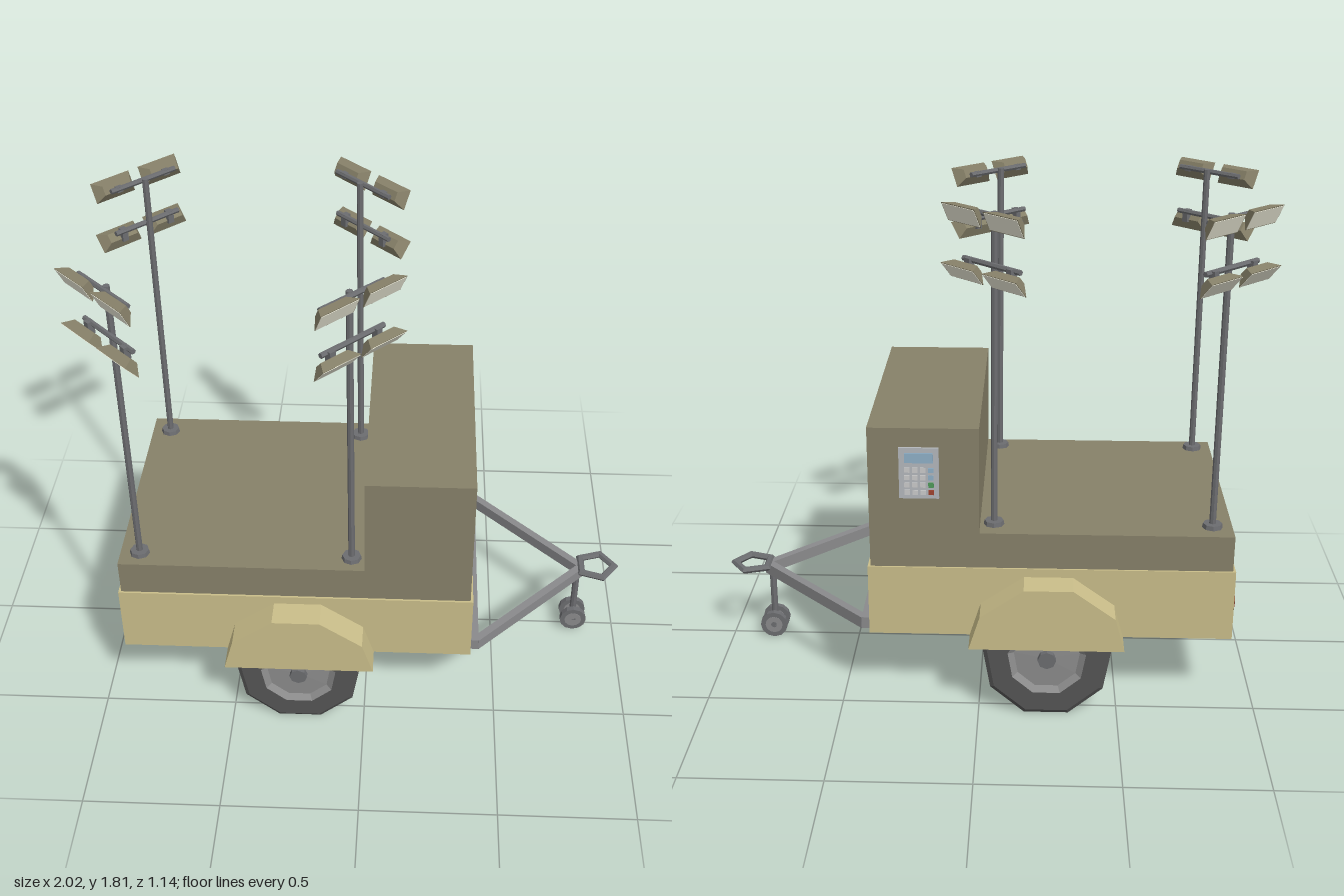
import * as THREE from 'three';

const mat = (color, side = THREE.FrontSide) => new THREE.MeshStandardMaterial({ color, flatShading: true, side });
const M = {
  tan: mat(0xcabe8a), olive: mat(0x878169), rubber: mat(0x555555), rim: mat(0x8c8c8c, THREE.DoubleSide),
  steel: mat(0x6c6d70), frame: mat(0x8a8a8c), lens: mat(0xf0eedc), panel: mat(0xb4b8bc),
  screen: mat(0x8fb0c8), key: mat(0xe6e6e6), red: mat(0xa0442f), dark: mat(0x55503c), green: mat(0x4f9a5a),
};

function add(parent, name, geo, material, x = 0, y = 0, z = 0) {
  const m = new THREE.Mesh(geo, material);
  m.name = name;
  m.position.set(x, y, z);
  parent.add(m);
  return m;
}

// box given by its min and max corners
function block(parent, name, material, [x0, y0, z0], [x1, y1, z1]) {
  return add(parent, name, new THREE.BoxGeometry(x1 - x0, y1 - y0, z1 - z0), material,
    (x0 + x1) / 2, (y0 + y1) / 2, (z0 + z1) / 2);
}

// lathe turned so that its axis is z and a flat side points down
function wheelLathe(pts, sides) {
  const g = new THREE.LatheGeometry(pts.map(p => new THREE.Vector2(...p)), sides, Math.PI / sides);
  return g.rotateX(Math.PI / 2);
}

function createWheel() {
  const g = new THREE.Group();
  g.name = 'wheel';
  add(g, 'tyre', wheelLathe([[0, -0.046], [0.215, -0.046], [0.234, -0.036], [0.234, 0.036], [0.218, 0.046],
    [0.142, 0.046], [0.135, 0.02]], 9), M.rubber);
  add(g, 'rim', wheelLathe([[0.142, 0.046], [0.12, 0.028], [0, 0.032]], 9), M.rim);
  add(g, 'hub', new THREE.CylinderGeometry(0.033, 0.033, 0.03, 8).rotateX(Math.PI / 2), M.steel, 0, 0, 0.036);
  return g;
}

// floodlight facing +z: housing tapers towards the back
function createLamp() {
  const g = new THREE.Group();
  g.name = 'floodlight';
  const housing = new THREE.BoxGeometry(0.165, 0.074, 0.036);
  const p = housing.attributes.position;
  for (let i = 0; i < p.count; i++) {
    if (p.getZ(i) < 0) p.setXY(i, p.getX(i) * 0.7, p.getY(i) * 0.45);
  }
  add(g, 'lampHousing', housing, M.olive);
  add(g, 'lampLens', new THREE.BoxGeometry(0.158, 0.067, 0.003), M.lens, 0, 0, 0.018);
  return g;
}

function createMast(sx, sz) {
  const g = new THREE.Group();
  g.name = 'lightMast';
  add(g, 'mastFoot', new THREE.CylinderGeometry(0.034, 0.038, 0.02, 8), M.steel, 0, 0.67, 0);
  add(g, 'mastPole', new THREE.CylinderGeometry(0.012, 0.012, 1.14, 8), M.steel, 0, 1.23, 0);
  // two rows of paired lamps
  for (const [barY, lampY, tilt] of [[1.79, 1.788, 0.45], [1.62, 1.59, 0.7]]) {
    add(g, 'crossbar', new THREE.CylinderGeometry(0.01, 0.01, 0.28, 6).rotateZ(Math.PI / 2), M.steel, 0, barY, 0.014);
    for (const s of [-1, 1]) {
      const lamp = createLamp();
      lamp.position.set(s * 0.103, lampY, 0.042);
      lamp.rotation.x = tilt;
      g.add(lamp);
      block(g, 'lampBracket', M.steel, [s * 0.103 - 0.012, lampY - 0.01, 0.008], [s * 0.103 + 0.012, barY + 0.008, 0.034]);
    }
  }
  g.rotation.y = Math.atan2(sx, sz);
  return g;
}

function createDrawbar() {
  const g = new THREE.Group();
  g.name = 'drawbar';
  block(g, 'crossBeam', M.frame, [0.4, 0.27, -0.44], [0.43, 0.315, 0.44]);
  for (const s of [-1, 1]) {
    const dx = 0.43, dz = -0.43;
    const beam = add(g, 'diagonalBeam', new THREE.BoxGeometry(Math.hypot(dx, dz), 0.044, 0.03), M.frame,
      0.42 + dx / 2, 0.292, s * (0.43 + dz / 2));
    beam.rotation.y = -Math.atan2(s * dz, dx);
  }
  // five-sided towing eye
  const eye = new THREE.TorusGeometry(0.073, 0.018, 6, 5).rotateX(Math.PI / 2).scale(1, 0.7, 1);
  add(g, 'towingEye', eye, M.steel, 0.907, 0.311, -0.005);
  // jockey wheel
  add(g, 'jockeyLeg', new THREE.CylinderGeometry(0.013, 0.013, 0.25, 8), M.steel, 0.835, 0.18, 0);
  add(g, 'jockeyAxle', new THREE.CylinderGeometry(0.012, 0.012, 0.085, 8).rotateX(Math.PI / 2), M.steel, 0.835, 0.055, 0);
  for (const s of [-1, 1]) {
    add(g, 'jockeyTyre', new THREE.CylinderGeometry(0.053, 0.053, 0.022, 12).rotateX(Math.PI / 2), M.steel, 0.835, 0.055, s * 0.03);
    add(g, 'jockeyRim', new THREE.CylinderGeometry(0.034, 0.034, 0.025, 12).rotateX(Math.PI / 2), M.frame, 0.835, 0.055, s * 0.03);
  }
  return g;
}

function createControlPanel() {
  const g = new THREE.Group();
  g.name = 'controlPanel';
  block(g, 'panelPlate', M.panel, [0.14, 0.8, -0.459], [0.28, 0.99, -0.449]);
  block(g, 'panelScreen', M.screen, [0.16, 0.935, -0.463], [0.26, 0.972, -0.457]);
  for (let r = 0; r < 4; r++) for (let c = 0; c < 4; c++) {
    const x = 0.158 + c * 0.028, y = 0.815 + r * 0.028;
    const m = c === 0 ? (r === 0 ? M.red : r === 1 ? M.green : M.screen) : M.key;
    block(g, 'panelKey', m, [x, y, -0.463], [x + 0.019, y + 0.018, -0.457]);
  }
  return g;
}

export function createModel() {
  const root = new THREE.Group();
  root.name = 'lightTowerTrailer';

  // body
  block(root, 'chassis', M.tan, [-0.912, 0.262, -0.457], [0.4, 0.53, 0.463]);
  block(root, 'deck', M.olive, [-0.902, 0.53, -0.45], [0.39, 0.664, 0.455]);
  block(root, 'generatorCabinet', M.olive, [0, 0.664, -0.45], [0.39, 1.06, 0.455]);
  root.add(createControlPanel());

  // wheels and fenders
  const arch = new THREE.Shape([[0.035, 0.262], [-0.005, 0.39], [-0.16, 0.498], [-0.335, 0.498], [-0.485, 0.39], [-0.52, 0.262]]
    .map(p => new THREE.Vector2(...p)));
  for (const s of [-1, 1]) {
    add(root, 'fender', new THREE.ExtrudeGeometry(arch, { depth: 0.11, bevelEnabled: false }), M.tan,
      0, 0, s > 0 ? 0.457 : -0.565);
    const wheel = createWheel();
    wheel.position.set(-0.245, 0.22, s * 0.514);
    if (s < 0) wheel.rotation.y = Math.PI;
    root.add(wheel);

    // tail lights
    const tail = (name, m, a, b, x, y0, y1) =>
      block(root, name, m, [x, y0, Math.min(s * a, s * b)], [-0.9, y1, Math.max(s * a, s * b)]);
    tail('tailLightHousing', M.dark, 0.27, 0.435, -0.916, 0.368, 0.424);
    tail('tailLightRed', M.red, 0.34, 0.428, -0.919, 0.376, 0.416);
    tail('tailLightWhite', M.key, 0.278, 0.335, -0.919, 0.376, 0.416);
  }

  // light masts, lamps facing out from each corner
  for (const [x, sx] of [[-0.83, -1], [-0.05, 1]]) for (const [z, sz] of [[0.387, 1], [-0.366, -1]]) {
    const mast = createMast(sx, sz);
    mast.position.set(x, 0, z);
    root.add(mast);
  }

  root.add(createDrawbar());
  return root;
}
